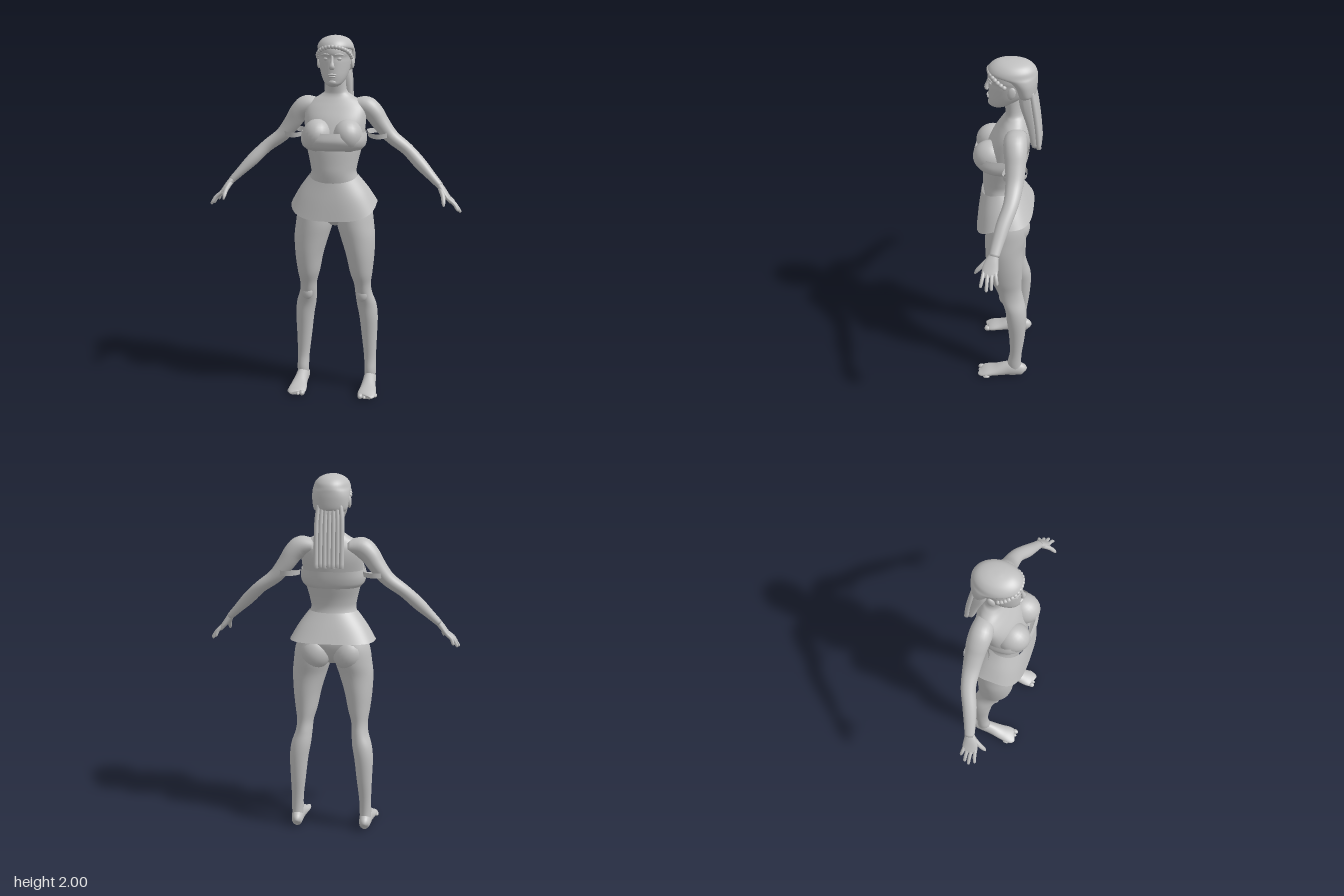
import * as THREE from 'three';

const grey = new THREE.MeshStandardMaterial({ color: 0xc0c0c0, side: THREE.DoubleSide });
grey.name = 'plain grey';

// Smooth in-between rows (Catmull-Rom on every column)
function smooth(rows, sub) {
  const out = [], last = rows.length - 1;
  for (let i = 0; i < last; i++) {
    const p0 = rows[Math.max(i - 1, 0)], p1 = rows[i], p2 = rows[i + 1], p3 = rows[Math.min(i + 2, last)];
    for (let k = 0; k < sub; k++) {
      const t = k / sub;
      out.push(p1.map((b, c) => {
        const a = p0[c], d = p2[c], e = p3[c];
        return b + 0.5 * t * (d - a + t * (2 * a - 5 * b + 4 * d - e + t * (3 * (b - d) + e - a)));
      }));
    }
  }
  out.push(rows[last]);
  return out;
}

// Closed skin over rings of points
function skin(rings, caps = true) {
  const n = rings[0].length, pos = rings.flat().flatMap((p) => [p.x, p.y, p.z]), idx = [];
  for (let i = 0; i < rings.length - 1; i++) {
    for (let j = 0; j < n; j++) {
      const a = i * n + j, b = i * n + ((j + 1) % n);
      idx.push(a, a + n, b, b, a + n, b + n);
    }
  }
  if (caps) {
    [0, rings.length - 1].forEach((r, end) => {
      const c = new THREE.Vector3();
      rings[r].forEach((p) => c.addScaledVector(p, 1 / n));
      const ci = pos.length / 3;
      pos.push(c.x, c.y, c.z);
      for (let j = 0; j < n; j++) {
        const a = r * n + j, b = r * n + ((j + 1) % n);
        if (end) idx.push(ci, b, a); else idx.push(ci, a, b);
      }
    });
  }
  const g = new THREE.BufferGeometry();
  g.setAttribute('position', new THREE.Float32BufferAttribute(pos, 3));
  g.setIndex(idx);
  g.computeVertexNormals();
  return g;
}

// Upright loft, rows bottom to top: y, centre x, half width, front z, back z, squareness, front dip
function column(rows, { n = 40, sub = 5, caps = true } = {}) {
  const pw = (v, p) => Math.sign(v) * Math.abs(v) ** (2 / p);
  const full = rows.map(([y, cx, hw, zf, zb, p = 2, dip = 0]) => [y, cx, hw, zf, zb, p, dip]);
  return skin(smooth(full, sub).map(([y, cx, hw, zf, zb, p, dip]) =>
    Array.from({ length: n }, (_, j) => {
      const a = (j / n) * Math.PI * 2, c = Math.cos(a), s = Math.sin(a);
      return new THREE.Vector3(cx + hw * pw(c, p), y + dip * Math.max(0, s), (zf + zb) / 2 + ((zf - zb) / 2) * pw(s, p));
    })), caps);
}

// Limb along a path, rows: x, y, z, radius along side, radius across
function limb(rows, { side = [0, 0, 1], n = 20, sub = 4 } = {}) {
  const r = smooth(rows, sub), pts = r.map((q) => new THREE.Vector3(q[0], q[1], q[2]));
  return skin(pts.map((c, i) => {
    const t = pts[Math.min(i + 1, pts.length - 1)].clone().sub(pts[Math.max(i - 1, 0)]).normalize();
    const u = new THREE.Vector3(...side);
    u.addScaledVector(t, -u.dot(t)).normalize();
    const v = u.clone().cross(t);
    return Array.from({ length: n }, (_, j) => {
      const a = (j / n) * Math.PI * 2;
      return c.clone().addScaledVector(u, r[i][3] * Math.cos(a)).addScaledVector(v, r[i][4] * Math.sin(a));
    });
  }));
}

function ball(c, r, tilt = 0) {
  return new THREE.SphereGeometry(1, 24, 16).scale(...r).rotateX(tilt).translate(...c);
}

function mirrored(g) {
  const m = g.clone().scale(-1, 1, 1), ix = m.index.array;
  for (let i = 0; i < ix.length; i += 3) [ix[i], ix[i + 1]] = [ix[i + 1], ix[i]];
  return m;
}

export function createModel() {
  const model = new THREE.Group();
  model.name = 'standingWoman';
  const add = (name, g) => {
    const m = new THREE.Mesh(g, grey);
    m.name = name;
    model.add(m);
  };
  const pair = (name, g) => { add('left ' + name, g); add('right ' + name, mirrored(g)); };

  // Torso and neck
  add('torso', column([
    [0.965, 0, 0.03, 0.03, -0.03], [1.0, 0, 0.12, 0.085, -0.07], [1.05, 0, 0.19, 0.105, -0.1],
    [1.11, 0, 0.198, 0.115, -0.11], [1.18, 0, 0.165, 0.125, -0.09], [1.26, 0, 0.126, 0.138, -0.06],
    [1.32, 0, 0.131, 0.138, -0.062], [1.4, 0, 0.15, 0.135, -0.085], [1.47, 0, 0.162, 0.125, -0.102],
    [1.55, 0, 0.168, 0.095, -0.115, 2.2], [1.61, 0, 0.165, 0.058, -0.112, 2.2], [1.65, 0, 0.135, 0.032, -0.1],
    [1.68, 0, 0.085, 0.016, -0.09], [1.71, 0, 0.058, 0.016, -0.08], [1.8, 0, 0.052, 0.03, -0.075]]));
  pair('breast', ball([0.083, 1.472, 0.088], [0.08, 0.088, 0.092], -0.25));
  pair('buttock', ball([0.092, 1.03, -0.045], [0.088, 0.095, 0.08]));

  // Legs and feet
  pair('leg', column([
    [0.04, 0.195, 0.03, -0.02, -0.1], [0.1, 0.195, 0.033, -0.012, -0.092], [0.18, 0.193, 0.034, -0.025, -0.095],
    [0.3, 0.188, 0.043, -0.02, -0.11], [0.42, 0.183, 0.052, -0.006, -0.118], [0.5, 0.172, 0.055, 0.006, -0.114],
    [0.57, 0.158, 0.047, 0.035, -0.098], [0.63, 0.153, 0.047, 0.058, -0.086], [0.7, 0.148, 0.062, 0.09, -0.087],
    [0.8, 0.143, 0.078, 0.11, -0.09], [0.9, 0.13, 0.095, 0.117, -0.093], [0.98, 0.114, 0.103, 0.118, -0.108],
    [1.06, 0.105, 0.1, 0.11, -0.11], [1.14, 0.095, 0.08, 0.09, -0.09]]));
  pair('kneecap', ball([0.155, 0.57, 0.018], [0.03, 0.04, 0.022]));
  pair('foot', limb([
    [0.193, 0.035, -0.115, 0.01, 0.014], [0.193, 0.042, -0.102, 0.028, 0.036], [0.195, 0.052, -0.05, 0.035, 0.05],
    [0.196, 0.046, 0, 0.037, 0.044], [0.198, 0.033, 0.06, 0.045, 0.03], [0.198, 0.025, 0.11, 0.051, 0.022],
    [0.2, 0.018, 0.14, 0.046, 0.015], [0.197, 0.016, 0.152, 0.028, 0.01]], { side: [1, 0, 0], n: 28 }));
  for (let i = 0; i < 5; i++) {
    const r = i ? 0.0105 : 0.015;
    pair('toe ' + (i + 1), ball([0.165 + i * 0.019 + (i ? 0.004 : 0), r + 0.003, 0.146 - i * i * 0.0022], [r, r, 0.02]));
  }

  // Arms, palms, fingers
  pair('arm', limb([
    [0.09, 1.62, -0.05, 0.05, 0.035], [0.16, 1.617, -0.048, 0.06, 0.056], [0.205, 1.583, -0.052, 0.059, 0.053],
    [0.245, 1.525, -0.056, 0.053, 0.047], [0.305, 1.452, -0.056, 0.046, 0.039], [0.39, 1.388, -0.045, 0.039, 0.034],
    [0.465, 1.315, -0.014, 0.037, 0.034], [0.53, 1.25, 0.008, 0.031, 0.025], [0.578, 1.202, 0.022, 0.026, 0.019]], { n: 28 }));
  pair('palm', limb([
    [0.57, 1.21, 0.02, 0.024, 0.018], [0.592, 1.183, 0.03, 0.034, 0.017], [0.615, 1.152, 0.037, 0.041, 0.015],
    [0.637, 1.125, 0.039, 0.038, 0.012], [0.642, 1.118, 0.039, 0.03, 0.006]]));
  const fingers = [[0.01, 0.663, 1.085, 0.0], [0.028, 0.684, 1.068, 0.026], [0.048, 0.693, 1.066, 0.05], [0.068, 0.68, 1.08, 0.08]];
  fingers.forEach(([z, x, y, tz], i) => pair('finger ' + (i + 1), limb([
    [0.622, 1.142, z, 0.01, 0.01], [(0.622 + x) / 2 + 0.005, (1.142 + y) / 2 + 0.005, (z + tz) / 2, 0.0095, 0.0095],
    [x - 0.005, y + 0.007, tz, 0.008, 0.008], [x, y, tz, 0.003, 0.003]], { n: 10 })));
  pair('thumb', limb([[0.582, 1.188, 0.045, 0.014, 0.014], [0.597, 1.155, 0.08, 0.013, 0.012],
    [0.602, 1.125, 0.107, 0.01, 0.01], [0.604, 1.107, 0.116, 0.004, 0.004]], { n: 12 }));

  // Clothing
  add('bandeau top', column([
    [1.395, 0, 0.152, 0.147, -0.09, 2.3], [1.415, 0, 0.17, 0.172, -0.1, 2.4], [1.45, 0, 0.178, 0.185, -0.108, 2.5],
    [1.492, 0, 0.173, 0.173, -0.113, 2.5]], { n: 56, caps: false }));
  add('skirt', column([
    [1.1, 0, 0.235, 0.17, -0.138, 3, -0.085], [1.18, 0, 0.188, 0.16, -0.102, 2.6, -0.06],
    [1.255, 0, 0.132, 0.146, -0.066, 2.1, -0.035]], { n: 64, caps: false }));
  pair('fallen strap', column([
    [1.465, 0.235, 0.062, 0.008, -0.115, 2, -0.02], [1.492, 0.235, 0.066, 0.012, -0.118, 2, -0.02]],
  { n: 36, caps: false }));

  // Head and face
  add('head', column([
    [1.732, 0, 0.022, 0.085, 0.03], [1.745, 0, 0.042, 0.1, 0.0], [1.765, 0, 0.058, 0.103, -0.035],
    [1.79, 0, 0.07, 0.105, -0.07], [1.82, 0, 0.079, 0.104, -0.095], [1.86, 0, 0.086, 0.102, -0.11],
    [1.885, 0, 0.088, 0.1, -0.115], [1.91, 0, 0.09, 0.107, -0.12], [1.945, 0, 0.083, 0.098, -0.11],
    [1.975, 0, 0.05, 0.06, -0.07]]));
  add('nose', limb([[0, 1.895, 0.097, 0.008, 0.008], [0, 1.865, 0.106, 0.009, 0.009], [0, 1.838, 0.114, 0.015, 0.011],
    [0, 1.828, 0.106, 0.013, 0.007]], { side: [1, 0, 0], n: 16 }));
  add('upper lip', ball([0, 1.797, 0.103], [0.023, 0.006, 0.01]));
  add('lower lip', ball([0, 1.786, 0.101], [0.019, 0.007, 0.01]));
  add('chin', ball([0, 1.756, 0.09], [0.024, 0.017, 0.017]));
  pair('eye', ball([0.034, 1.879, 0.085], [0.015, 0.009, 0.012]));
  pair('brow', limb([[0.012, 1.9, 0.102, 0.005, 0.005], [0.038, 1.904, 0.096, 0.006, 0.005], [0.06, 1.897, 0.078, 0.004, 0.004]],
    { side: [0, 1, 0], n: 10 }));
  pair('ear', ball([0.091, 1.855, -0.022], [0.012, 0.034, 0.021], -0.2));

  // Hair cap, braided hairline and long tail
  add('hair cap', column([
    [1.81, 0, 0.072, -0.045, -0.125], [1.828, 0, 0.089, -0.04, -0.141], [1.88, 0, 0.098, -0.012, -0.147],
    [1.915, 0, 0.099, 0.035, -0.147], [1.935, 0, 0.098, 0.103, -0.145], [1.96, 0, 0.089, 0.1, -0.135],
    [1.982, 0, 0.068, 0.076, -0.11], [1.995, 0, 0.038, 0.045, -0.07], [2.0, 0, 0.008, 0.0, -0.02]]));
  for (let i = 0; i <= 16; i++) {
    const s = Math.sin((i / 16 - 0.5) * Math.PI), c = Math.sqrt(Math.max(0, 1 - s * s));
    add('hairline braid', ball([0.089 * s, 1.885 + 0.058 * c, 0.015 + 0.085 * c], [0.013, 0.012, 0.012]));
  }
  add('hair tail', column([
    [1.528, 0, 0.074, -0.12, -0.168, 3], [1.65, 0, 0.075, -0.092, -0.157, 3], [1.77, 0, 0.075, -0.055, -0.142, 3],
    [1.86, 0, 0.068, -0.05, -0.13, 2.5]]));
  for (let i = 0; i < 7; i++) {
    const x = (i - 3) * 0.0225;
    add('hair strand', limb([[x, 1.522 + (i % 2) * 0.006, -0.163, 0.013, 0.013], [x, 1.65, -0.151, 0.013, 0.013],
      [x * 0.97, 1.77, -0.134, 0.013, 0.013], [x * 0.85, 1.85, -0.12, 0.011, 0.011]], { side: [1, 0, 0], n: 12 }));
  }
  return model;
}
